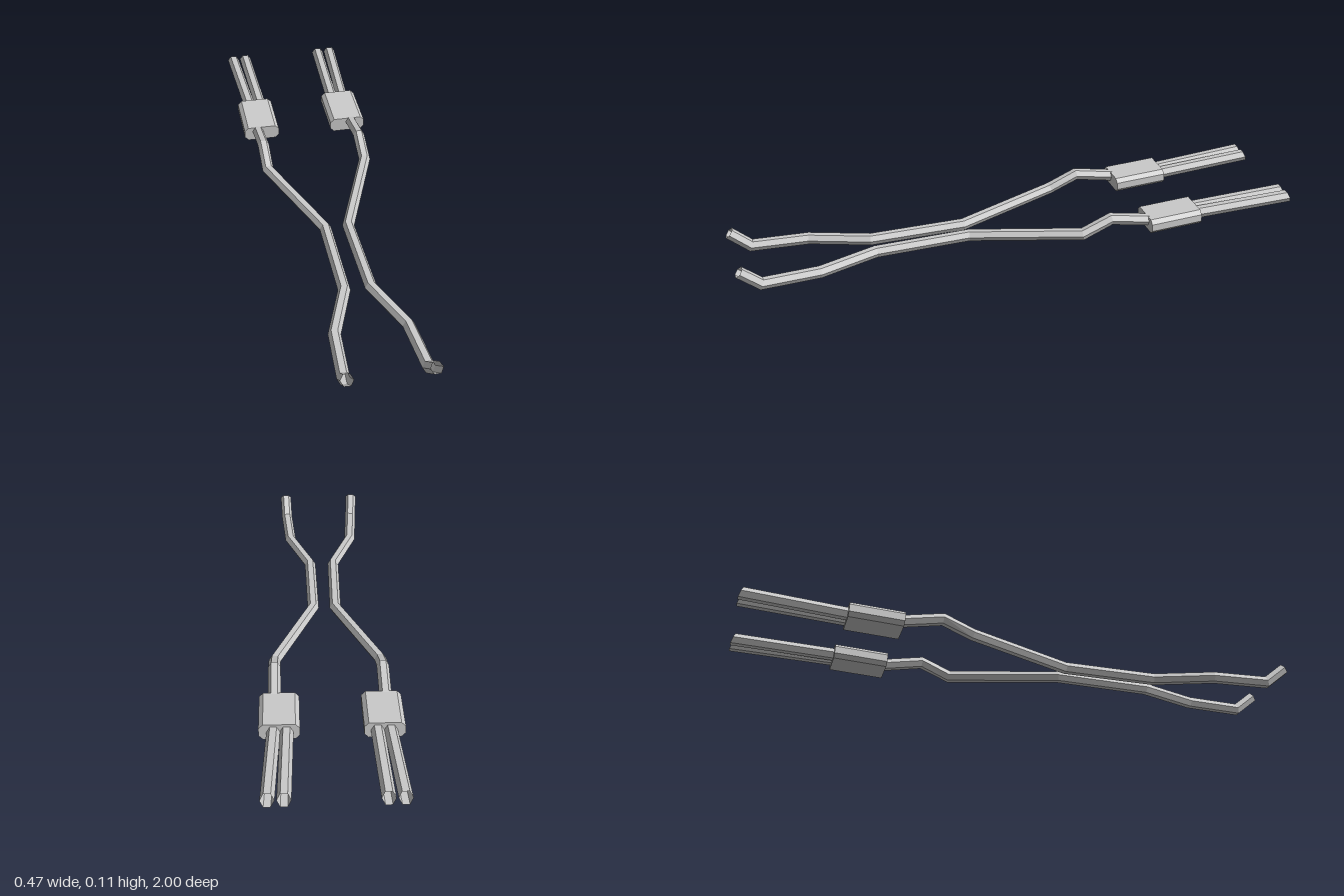
import * as THREE from 'three';

const pipeMaterial = new THREE.MeshStandardMaterial({ color: 0xcccccc, flatShading: true, side: THREE.DoubleSide });
const boxMaterial = new THREE.MeshStandardMaterial({ color: 0xcccccc, flatShading: true });
const SIDES = 6;

// Open six-sided pipe along a polyline, with mitred bends.
// endNormal optionally slants the cut at the last point.
function pipe(name, points, radius, endNormal) {
  const pts = points.map((p) => new THREE.Vector3(...p));
  const last = pts.length - 1;
  const dirs = pts.slice(1).map((p, i) => p.clone().sub(pts[i]).normalize());
  const up = new THREE.Vector3(0, 1, 0);
  const position = [];
  const index = [];
  pts.forEach((p, i) => {
    const dIn = dirs[Math.max(i - 1, 0)];
    const dOut = dirs[Math.min(i, last - 1)];
    const n = dIn.clone().add(dOut).normalize();
    if (i === last && endNormal) n.copy(endNormal).normalize();
    const side = new THREE.Vector3().crossVectors(up, dIn.clone().add(dOut)).normalize();
    const top = new THREE.Vector3().crossVectors(dIn, side).normalize();
    for (let k = 0; k < SIDES; k++) {
      const a = (k / SIDES) * Math.PI * 2;
      const v = side.clone().multiplyScalar(Math.cos(a) * radius).addScaledVector(top, Math.sin(a) * radius);
      v.addScaledVector(dIn, -v.dot(n) / dIn.dot(n)).add(p);
      position.push(v.x, v.y, v.z);
      if (i < last) {
        const b = i * SIDES + k;
        const c = i * SIDES + ((k + 1) % SIDES);
        index.push(b, c, c + SIDES, b, c + SIDES, b + SIDES);
      }
    }
  });
  const geometry = new THREE.BufferGeometry();
  geometry.setAttribute('position', new THREE.Float32BufferAttribute(position, 3));
  geometry.setIndex(index);
  geometry.computeVertexNormals();
  const mesh = new THREE.Mesh(geometry, pipeMaterial);
  mesh.name = name;
  return mesh;
}

// Flat box with chamfered long edges, tilted up towards the back
function muffler(sign) {
  const w = 0.066, h = 0.027, c = 0.014;
  const shape = new THREE.Shape([
    [-w, -h + c], [-w + c, -h], [w - c, -h], [w, -h + c],
    [w, h - c], [w - c, h], [-w + c, h], [-w, h - c],
  ].map(([x, y]) => new THREE.Vector2(x, y)));
  const geometry = new THREE.ExtrudeGeometry(shape, { depth: 0.19, bevelEnabled: false });
  geometry.translate(0, 0, -0.095);
  const mesh = new THREE.Mesh(geometry, boxMaterial);
  mesh.name = 'muffler';
  mesh.position.set(sign * 0.168, 0.059, -0.542);
  mesh.rotation.x = 0.057;
  return mesh;
}

export function createModel() {
  const model = new THREE.Group();
  model.name = 'dualExhaust';

  for (const sign of [1, -1]) {
    const half = new THREE.Group();
    half.name = sign > 0 ? 'leftExhaust' : 'rightExhaust';
    const mirror = (list) => list.map(([x, y, z]) => [sign * x, y, z]);

    // Long pipe from the upturned front end back into the muffler
    half.add(pipe('frontPipe', mirror([
      [0.137, 0.079, 0.988],
      [0.133, 0.02, 0.917],
      [0.12, 0.021, 0.717],
      [0.045, 0.022, 0.51],
      [0.041, 0.028, 0.172],
      [0.183, 0.045, -0.204],
      [0.183, 0.089, -0.308],
      [0.183, 0.061, -0.46],
    ]), 0.021));

    half.add(muffler(sign));

    // Twin tail pipes, spreading slightly outwards, with slanted tips
    const cut = new THREE.Vector3(0, 0.4, -1);
    half.add(pipe('outerTailPipe', mirror([[0.186, 0.063, -0.62], [0.204, 0.083, -0.992]]), 0.022, cut));
    half.add(pipe('innerTailPipe', mirror([[0.144, 0.063, -0.62], [0.154, 0.083, -0.992]]), 0.022, cut));

    model.add(half);
  }
  return model;
}
